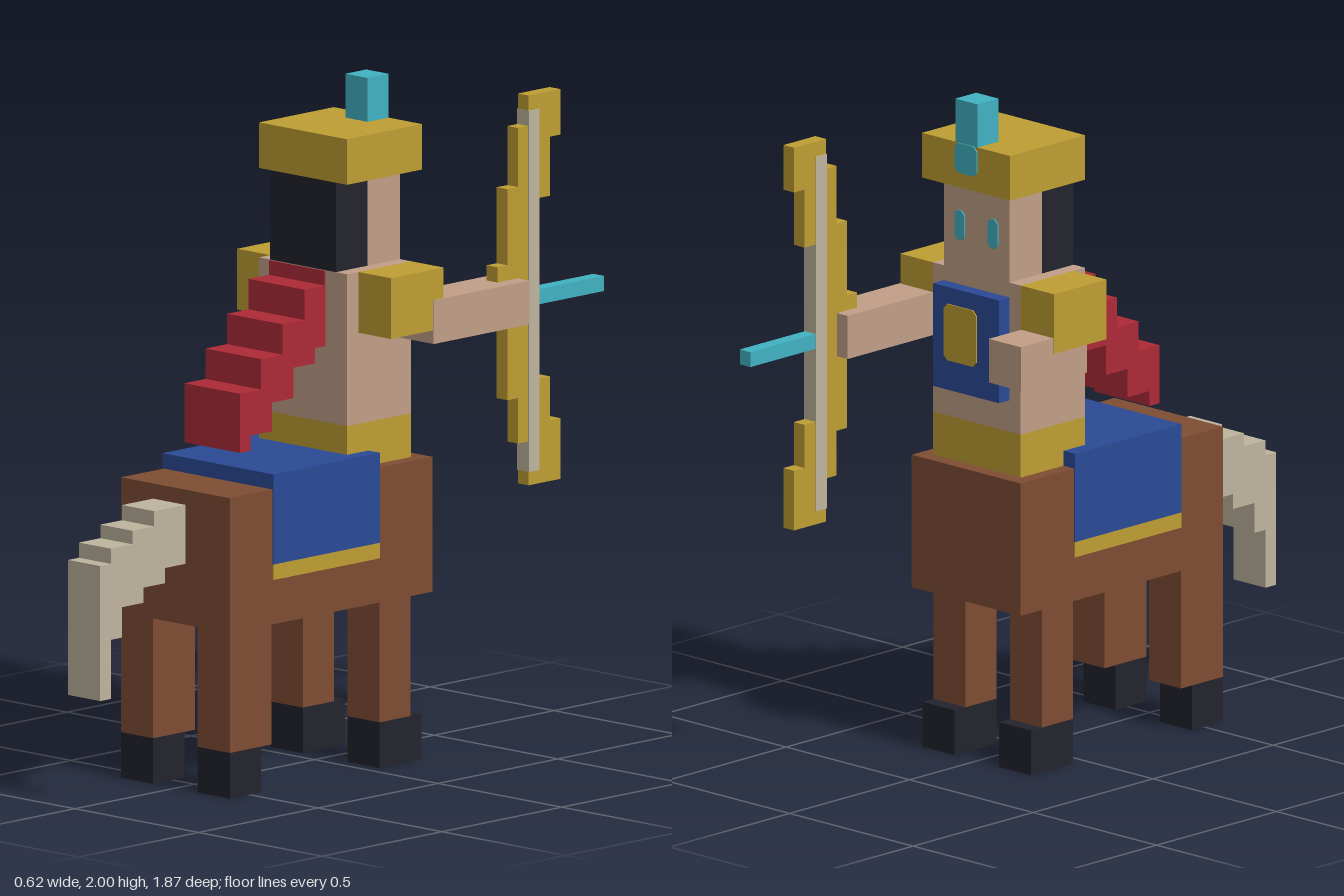
import * as THREE from 'three';

const mat = (name, color) => {
  const m = new THREE.MeshStandardMaterial({ color });
  m.name = name;
  return m;
};

export function createModel() {
  const root = new THREE.Group();
  root.name = 'centaurArcher';

  const brown = mat('brown hide', 0x7f4d34);
  const black = mat('black', 0x22232d);
  const gold = mat('gold', 0xbf9e33);
  const blue = mat('blue cloth', 0x2b4a96);
  const red = mat('red cape', 0xae2b37);
  const skin = mat('skin', 0xc2a088);
  const bone = mat('pale hair', 0xbfb59e);
  const teal = mat('teal', 0x41b3c2);

  const add = (name, geometry, material) => {
    const mesh = new THREE.Mesh(geometry, material);
    mesh.name = name;
    root.add(mesh);
    return mesh;
  };
  // Box from its lower and upper limits on each axis
  const box = (name, m, x0, x1, y0, y1, z0, z1) =>
    add(name, new THREE.BoxGeometry(x1 - x0, y1 - y0, z1 - z0)
      .translate((x0 + x1) / 2, (y0 + y1) / 2, (z0 + z1) / 2), m);
  // Side profile of [z, y] points, extruded across x
  const profile = (name, m, x0, x1, points) => {
    const shape = new THREE.Shape(points.map(([z, y]) => new THREE.Vector2(z, y)));
    const g = new THREE.ExtrudeGeometry(shape, { depth: x1 - x0, bevelEnabled: false });
    return add(name, g.rotateY(-Math.PI / 2).translate(x1, 0, 0), m);
  };
  // Thin plate with clipped corners, facing -z
  const badge = (name, m, x0, x1, y0, y1, z, c) => {
    const shape = new THREE.Shape([
      [x0 + c, y0], [x1 - c, y0], [x1, y0 + c], [x1, y1 - c],
      [x1 - c, y1], [x0 + c, y1], [x0, y1 - c], [x0, y0 + c],
    ].map(([x, y]) => new THREE.Vector2(x, y)));
    const g = new THREE.ExtrudeGeometry(shape, { depth: 0.004, bevelEnabled: false });
    return add(name, g.translate(0, 0, z - 0.004), m);
  };

  // Horse body, legs and hooves
  box('horseBody', brown, -0.22, 0.22, 0.49, 0.89, -0.265, 0.58);
  for (const [side, x0, x1] of [['left', 0.09, 0.22], ['right', -0.22, -0.09]]) {
    box(side + 'HindLeg', brown, x0, x1, 0.135, 0.49, 0.405, 0.58);
    box(side + 'HindHoof', black, x0, x1, 0, 0.135, 0.45, 0.58);
    box(side + 'FrontLeg', brown, x0, x1, 0.135, 0.49, -0.175, -0.045);
    box(side + 'FrontHoof', black, x0, x1, 0, 0.135, -0.22, -0.045);
  }

  // Saddle blanket with thin side drapes and gold trim
  box('blanketTop', blue, -0.22, 0.22, 0.89, 0.935, -0.042, 0.402);
  for (const [side, x0, x1] of [['left', 0.22, 0.224], ['right', -0.224, -0.22]]) {
    box(side + 'BlanketDrape', blue, x0, x1, 0.668, 0.935, -0.042, 0.402);
    box(side + 'BlanketTrim', gold, x0, x1, 0.622, 0.668, -0.042, 0.402);
  }

  // Stepped tail
  profile('tail', bone, -0.09, 0.04, [
    [0.58, 0.67], [0.665, 0.67], [0.665, 0.625], [0.755, 0.625], [0.755, 0.58],
    [0.845, 0.58], [0.845, 0.49], [0.89, 0.49], [0.89, 0.315], [0.935, 0.315],
    [0.935, 0.715], [0.89, 0.715], [0.89, 0.76], [0.8, 0.76], [0.8, 0.8],
    [0.71, 0.8], [0.71, 0.845], [0.58, 0.845],
  ]);

  // Rider's torso, belt and chest plate
  box('belt', gold, -0.178, 0.178, 0.89, 1.02, -0.265 + 0.045, 0.047);
  box('torso', skin, -0.178, 0.178, 1.02, 1.47, -0.22, 0.047);
  box('chestPlate', blue, -0.133, 0.133, 1.115, 1.425, -0.265, -0.22);
  badge('chestEmblem', gold, -0.045, 0.088, 1.205, 1.375, -0.265, 0.015);

  // Stepped cape and its collar
  profile('cape', red, -0.135, 0.09, [
    [0.047, 1.245], [0.09, 1.245], [0.09, 1.2], [0.18, 1.2], [0.18, 1.11],
    [0.27, 1.11], [0.27, 1.025], [0.36, 1.025], [0.36, 0.98], [0.403, 0.98],
    [0.403, 1.155], [0.315, 1.155], [0.315, 1.245], [0.225, 1.245], [0.225, 1.335],
    [0.135, 1.335], [0.135, 1.425], [0.047, 1.425],
  ]);
  box('capeCollar', red, -0.135, 0.09, 1.425, 1.468, 0.047, 0.051);

  // Head, hair and eyes
  box('face', skin, -0.133, 0.133, 1.47, 1.735, -0.22, -0.085);
  box('hair', black, -0.133, 0.133, 1.47, 1.735, -0.085, 0.047);
  for (const [side, x] of [['left', 0.067], ['right', -0.067]]) {
    badge(side + 'Eye', teal, x - 0.02, x + 0.02, 1.56, 1.65, -0.22, 0.013);
  }

  // Helmet and plume
  box('helmet', gold, -0.178, 0.178, 1.735, 1.87, -0.265, 0.047);
  box('plume', teal, -0.047, 0.043, 1.87, 2, -0.265, -0.178);
  badge('plumeBase', teal, -0.047, 0.043, 1.78, 1.87, -0.265, 0.014);

  // Shoulder guards and arms
  box('leftShoulder', gold, 0.178, 0.31, 1.29, 1.47, -0.22, 0);
  box('rightShoulder', gold, -0.312, -0.178, 1.29, 1.47, -0.22, 0);
  box('leftArm', skin, 0.178, 0.313, 1.25, 1.38, -0.575, -0.175);
  box('rightArm', skin, -0.31, -0.18, 1.205, 1.337, -0.355, -0.08);

  // Bow, string and arrow
  profile('bow', gold, 0.222, 0.265, [
    [-0.62, 1.915], [-0.62, 1.825], [-0.577, 1.825], [-0.577, 1.65], [-0.532, 1.65],
    [-0.532, 1.425], [-0.49, 1.425], [-0.49, 1.25], [-0.532, 1.25], [-0.532, 1.025],
    [-0.577, 1.025], [-0.577, 0.89], [-0.62, 0.89], [-0.62, 0.76], [-0.753, 0.76],
    [-0.753, 0.94], [-0.71, 0.94], [-0.71, 1.07], [-0.64, 1.07], [-0.64, 1.605],
    [-0.71, 1.605], [-0.71, 1.78], [-0.753, 1.78], [-0.753, 1.915],
  ]);
  box('bowString', bone, 0.219, 0.268, 0.8, 1.87, -0.664, -0.619);
  box('arrow', teal, 0.222, 0.265, 1.29, 1.335, -0.935, -0.575);

  return root;
}
